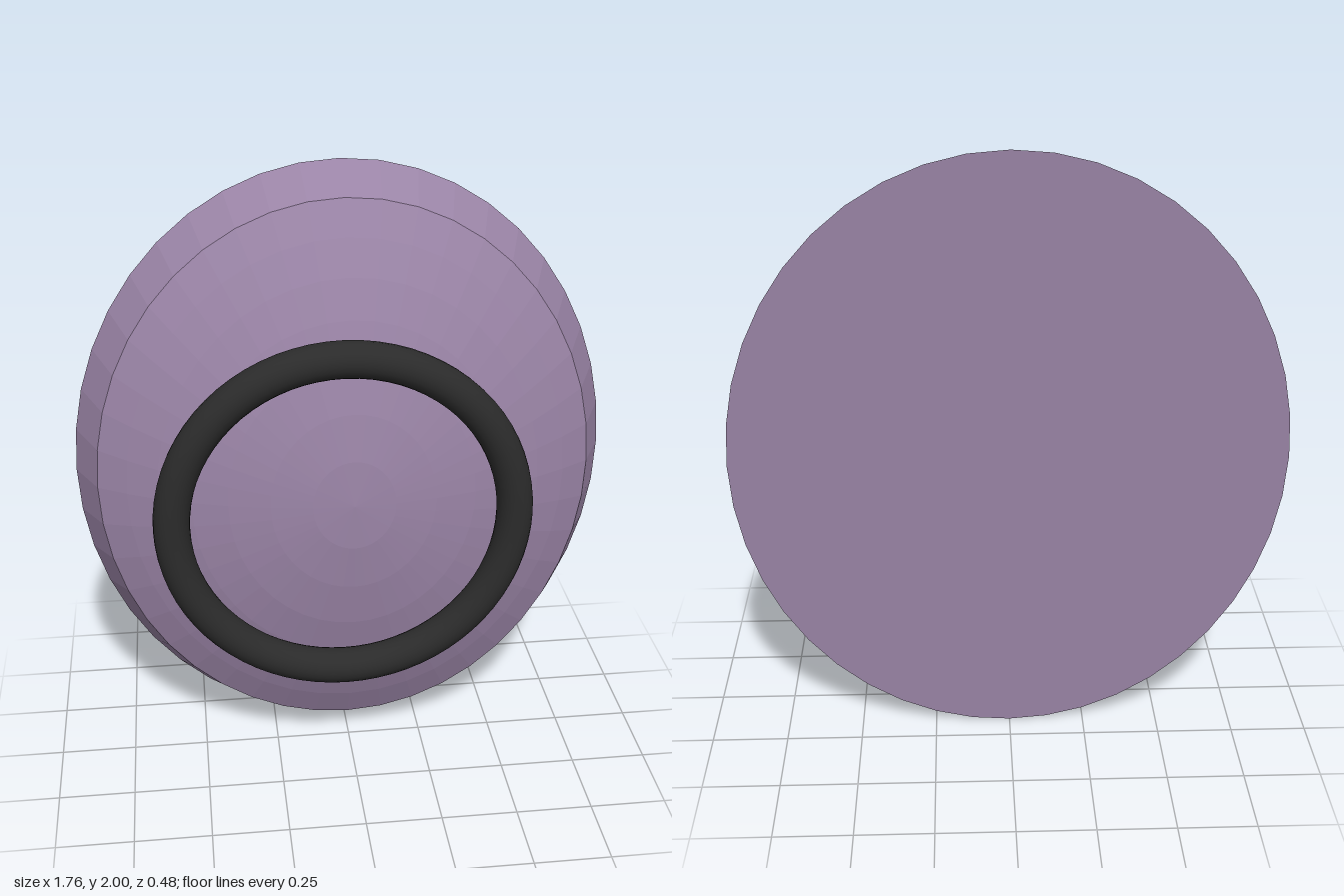
import * as THREE from 'three';

export function createModel() {
  const model = new THREE.Group();
  const purple = new THREE.MeshStandardMaterial({ color: 0x9a84a6, flatShading: true });
  purple.name = 'dusty purple';
  const black = new THREE.MeshStandardMaterial({ color: 0x2b2b2b });
  black.name = 'charcoal';

  // Shallow oval dome with a flat back: radius against depth
  const profile = [
    [0, -0.2], [1, -0.2], [0.917, -0.055], [0.81, 0], [0.7, 0.048],
    [0.58, 0.09], [0.45, 0.126], [0.3, 0.156], [0.15, 0.176], [0, 0.183],
  ].map(([r, z]) => new THREE.Vector2(r, z));
  const domeGeometry = new THREE.LatheGeometry(profile, 44);
  domeGeometry.rotateX(Math.PI / 2);
  domeGeometry.scale(0.882, 1, 1);

  // Shear the dome so that its back leans slightly
  const p = domeGeometry.attributes.position;
  for (let i = 0; i < p.count; i++) {
    p.setZ(i, p.getZ(i) - 0.04 * p.getY(i) - 0.011 * p.getX(i));
  }
  domeGeometry.computeVertexNormals();
  const dome = new THREE.Mesh(domeGeometry, purple);
  dome.name = 'dome';
  dome.position.y = 1;
  model.add(dome);

  // Round ring resting on the front of the dome
  const ring = new THREE.Mesh(new THREE.TorusGeometry(0.545, 0.058, 20, 72), black);
  ring.name = 'ring';
  ring.position.set(-0.032, 0.955, 0.181);
  model.add(ring);

  return model;
}
